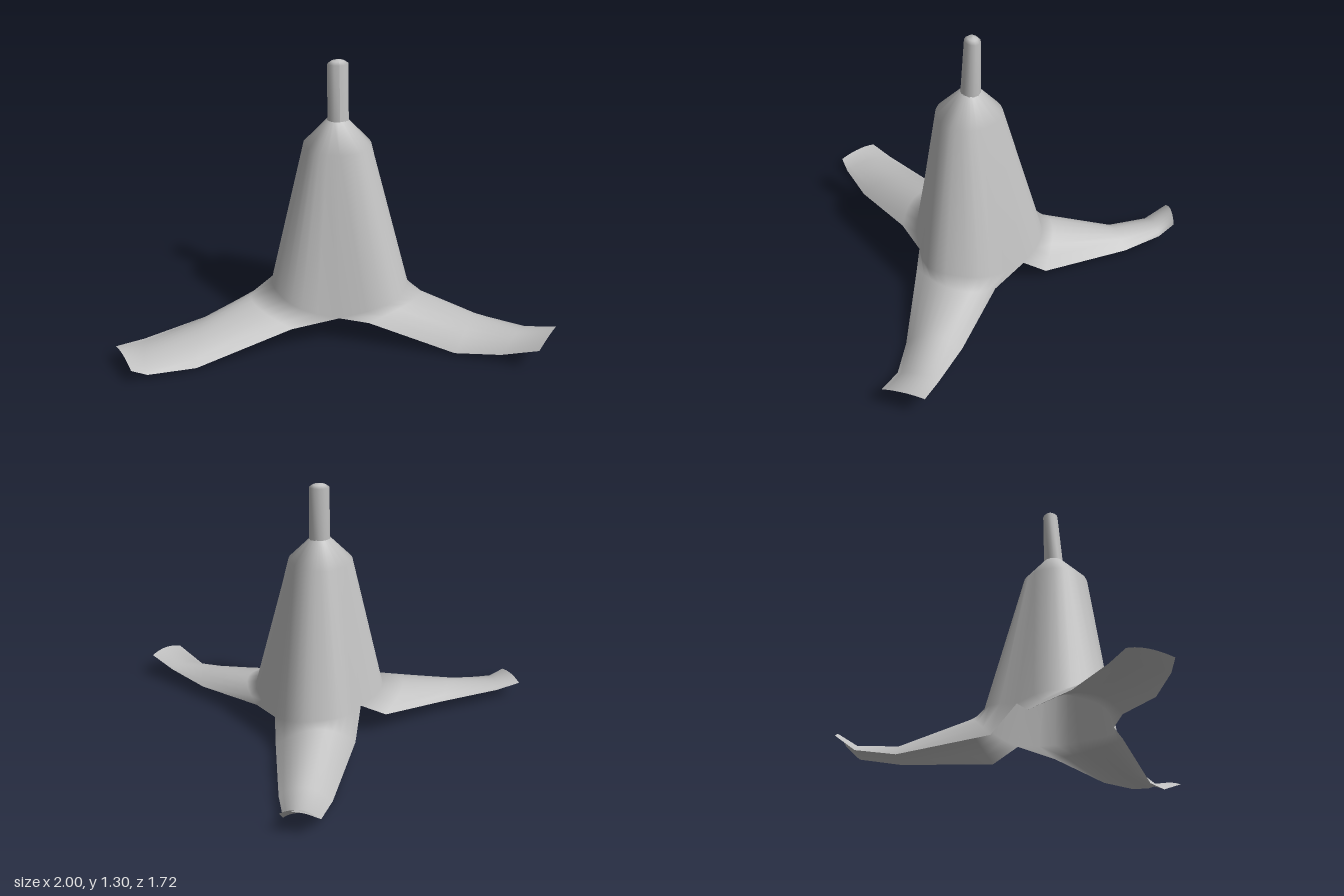
import * as THREE from 'three';
import { mergeVertices } from 'three/addons/utils/BufferGeometryUtils.js';

const V = (p) => new THREE.Vector3(...p);

// Each flap: rows from root to tip, each row = [one edge, ridge, other edge]
const backFlap = [
  [[-0.13, 0.19, 0.0], [0.07, 0.2, -0.16], [0.3, 0.13, 0.0]],
  [[-0.1, 0.05, -0.12], [0.09, 0.185, -0.22], [0.295, 0.04, -0.12]],
  [[0.02, 0.0, -0.56], [0.15, 0.08, -0.56], [0.27, 0.03, -0.56]],
  [[0.075, 0.04, -0.76], [0.17, 0.09, -0.76], [0.245, 0.05, -0.76]],
  [[0.1, 0.12, -0.86], [0.18, 0.15, -0.85], [0.26, 0.12, -0.83]],
];
const leftFlap = [
  [[0.3, 0.13, 0.0], [0.36, 0.2, 0.36], [0.03, 0.13, 0.45]],
  [[0.4, 0.1, 0.18], [0.43, 0.18, 0.39], [0.16, 0.12, 0.5]],
  [[0.7, 0.07, 0.44], [0.63, 0.13, 0.56], [0.53, 0.015, 0.66]],
  [[0.88, 0.09, 0.605], [0.81, 0.095, 0.68], [0.72, 0.04, 0.75]],
  [[0.995, 0.13, 0.7], [0.93, 0.14, 0.78], [0.86, 0.11, 0.855]],
];
const rightFlap = [
  [[0.03, 0.13, 0.45], [-0.23, 0.2, 0.29], [-0.13, 0.19, 0.0]],
  [[-0.2, 0.11, 0.475], [-0.36, 0.18, 0.3], [-0.26, 0.11, 0.05]],
  [[-0.65, 0.015, 0.575], [-0.62, 0.115, 0.41], [-0.57, 0.08, 0.235]],
  [[-0.87, 0.03, 0.615], [-0.88, 0.065, 0.49], [-0.87, 0.07, 0.37]],
  [[-0.94, 0.065, 0.625], [-0.97, 0.09, 0.52], [-1.0, 0.08, 0.43]],
];

// Upper rings of the body: height, radius, centre z
const rings = [[1.02, 0.048, 0.182], [0.905, 0.157, 0.19]];
const CX = 0.066, CZ = 0.17, SEG = 10;

// Arched row through both edges and the ridge; power sets how full the arch is
function archRow([a, r, b], power, inner) {
  const A = V(a), B = V(b);
  const lift = V(r).sub(A.clone().lerp(B, 0.5));
  if (inner) lift.multiply(new THREE.Vector3(0.9, 0.65, 0.9));
  return Array.from({ length: SEG + 1 }, (_, j) => {
    const t = j / SEG;
    return A.clone().lerp(B, t).addScaledVector(lift, 1 - Math.abs(2 * t - 1) ** power);
  });
}

// One third of the hollow body, continuing into its spread flap
function addPeel(rows, inner, positions, indices) {
  const lower = rows.map((row, i) => archRow(row, i === 0 ? 3 : 2, inner));
  const upper = rings.map(([y, r, z]) => lower[0].map((p) => {
    const a = Math.atan2(p.z - CZ, p.x - CX);
    const radius = inner ? r * 0.9 : r;
    return new THREE.Vector3(
      CX + radius * Math.cos(a), inner ? y - 0.015 : y, z + radius * Math.sin(a));
  }));
  const grid = [...upper, ...lower];
  const base = positions.length / 3, w = SEG + 1;
  grid.flat().forEach((p) => positions.push(p.x, p.y, p.z));
  for (let i = 0; i < grid.length - 1; i++) {
    for (let j = 0; j < SEG; j++) {
      const a = base + i * w + j;
      indices.push(a, a + 1, a + w, a + 1, a + w + 1, a + w);
    }
  }
}

// Body and three flaps as one smooth open shell
function peelLayer(name, material, inner) {
  const positions = [], indices = [];
  [backFlap, leftFlap, rightFlap].forEach((f) => addPeel(f, inner, positions, indices));
  let geo = new THREE.BufferGeometry();
  geo.setAttribute('position', new THREE.Float32BufferAttribute(positions, 3));
  geo.setIndex(indices);
  geo = mergeVertices(geo, 1e-4);
  geo.computeVertexNormals();
  const mesh = new THREE.Mesh(geo, material);
  mesh.name = name;
  return mesh;
}

export function createModel() {
  const group = new THREE.Group();
  const grey = new THREE.MeshStandardMaterial({ color: 0xc0c0c0, side: THREE.DoubleSide });
  grey.name = 'grey skin';

  // Outer skin and the lining that gives it thickness
  group.add(peelLayer('peelSkin', grey, false));
  group.add(peelLayer('peelLining', grey, true));

  // Stem: narrows from front to back toward its low domed end
  const profile = [[0.05, 1.01], [0.049, 1.28], [0.03, 1.293], [0, 1.3]]
    .map(([r, y]) => new THREE.Vector2(r, y));
  const stemGeo = new THREE.LatheGeometry(profile, 12);
  const pos = stemGeo.attributes.position;
  for (let i = 0; i < pos.count; i++) {
    const t = (pos.getY(i) - 1.01) / 0.29;
    pos.setZ(i, pos.getZ(i) * (0.95 - 0.22 * t) - 0.014 * t);
  }
  stemGeo.computeVertexNormals();
  const stem = new THREE.Mesh(stemGeo, grey);
  stem.position.set(CX + 0.004, 0, 0.182);
  stem.name = 'stem';
  group.add(stem);

  return group;
}
